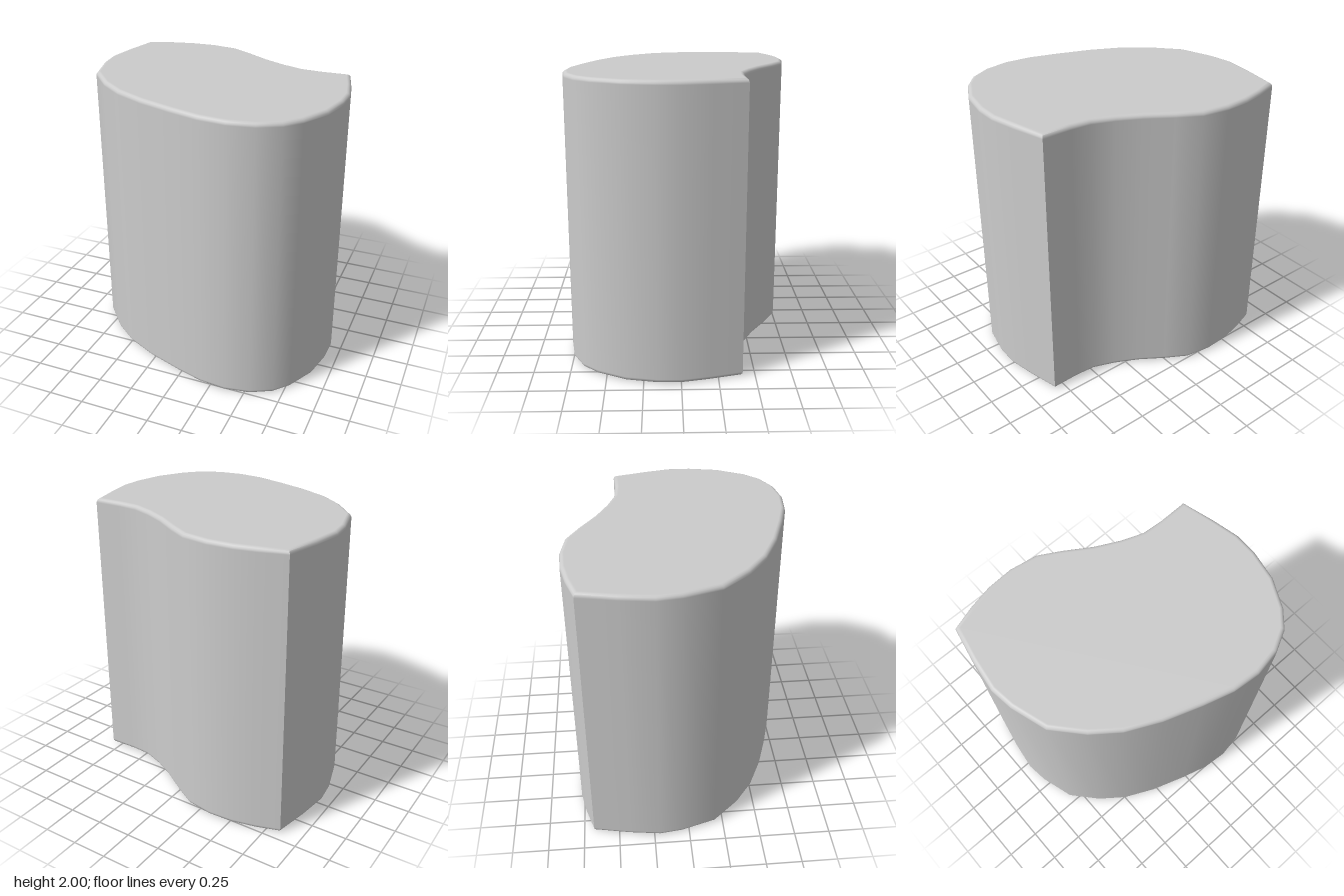
import * as THREE from 'three';
import { toCreasedNormals } from 'three/addons/utils/BufferGeometryUtils.js';

const HEIGHT = 2;
const BEVEL = 0.03;

// Plan outline as [x, z], starting at the back right corner
const OUTLINE = [
  // S-curved back
  [-0.85, -0.68], [-0.68, -0.735], [-0.52, -0.77], [-0.34, -0.78], [-0.15, -0.75],
  [0, -0.665], [0.17, -0.555], [0.33, -0.475], [0.48, -0.42], [0.62, -0.41], [0.825, -0.415],
  // left side
  [0.885, -0.19], [0.925, 0], [0.922, 0.16], [0.88, 0.37], [0.78, 0.565], [0.685, 0.67],
  // rounded front
  [0.54, 0.745], [0.36, 0.775], [0.17, 0.757], [-0.03, 0.7], [-0.28, 0.615], [-0.5, 0.51],
  // right side
  [-0.67, 0.38], [-0.835, 0.195], [-0.91, -0.05], [-0.93, -0.21], [-0.9, -0.43],
];

export function createModel() {
  const group = new THREE.Group();
  const shape = new THREE.Shape(OUTLINE.map(([x, z]) => new THREE.Vector2(x, z)));
  let geometry = new THREE.ExtrudeGeometry(shape, {
    depth: HEIGHT - 2 * BEVEL,
    bevelThickness: BEVEL,
    bevelSize: BEVEL,
    bevelOffset: -BEVEL,
    bevelSegments: 4,
  });
  geometry.rotateX(Math.PI / 2).translate(0, HEIGHT - BEVEL, 0);
  geometry = toCreasedNormals(geometry, 0.75);

  // Keep the caps flat and the walls upright, so only the bevel shades round
  const position = geometry.attributes.position;
  const normal = geometry.attributes.normal;
  const n = new THREE.Vector3();
  for (let i = 0; i < position.count; i++) {
    const reach = Math.abs(position.getY(i) - HEIGHT / 2);
    n.fromBufferAttribute(normal, i);
    if (reach > HEIGHT / 2 - 1e-4) n.set(0, Math.sign(n.y), 0);
    else if (reach < HEIGHT / 2 - BEVEL + 1e-4) n.setY(0).normalize();
    normal.setXYZ(i, n.x, n.y, n.z);
  }

  const body = new THREE.Mesh(geometry, new THREE.MeshStandardMaterial({ color: 0xcccccc }));
  body.name = 'curvedBlock';
  group.add(body);
  return group;
}
